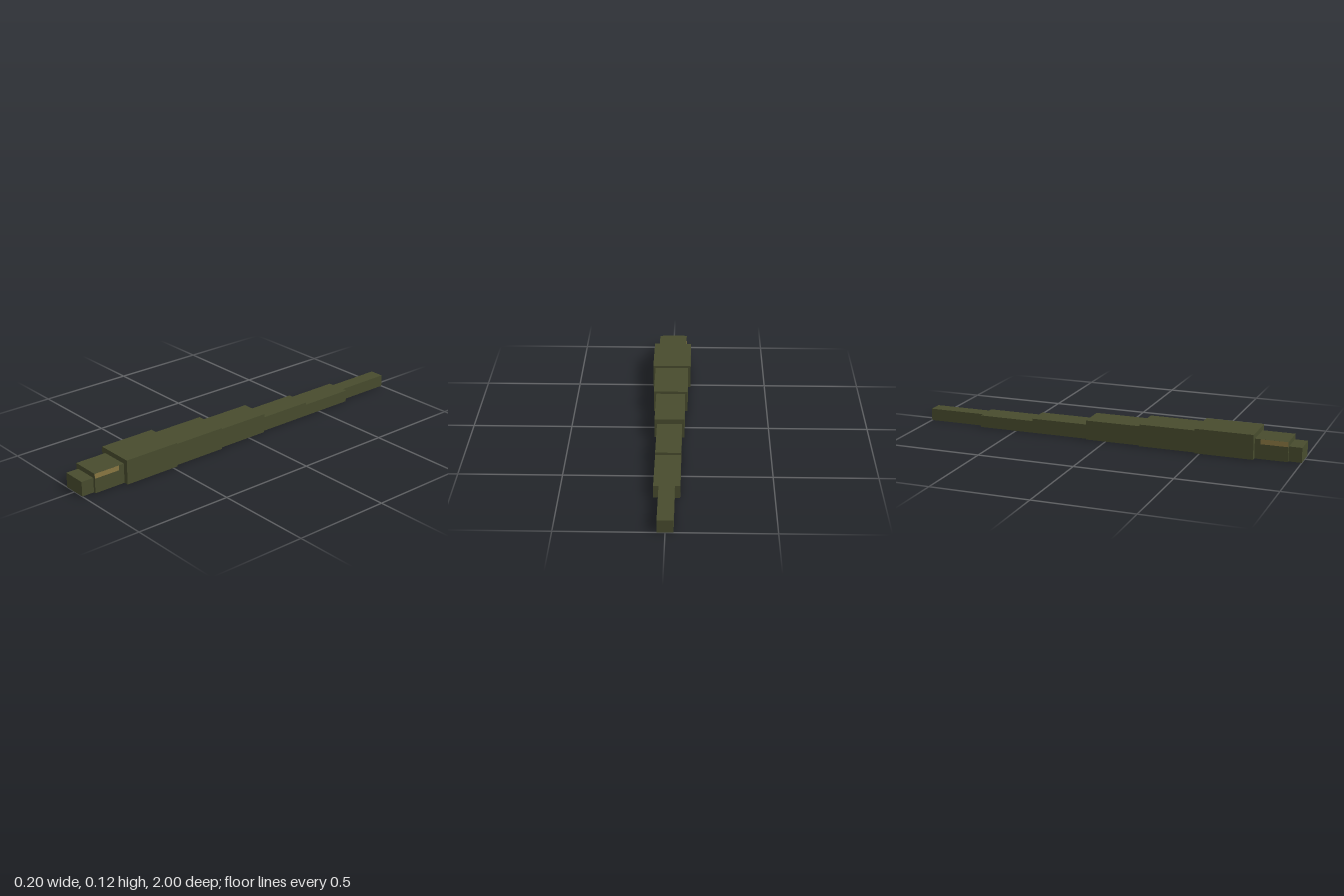
import * as THREE from 'three';

export function createModel() {
  const model = new THREE.Group();
  model.name = 'snake';

  const skin = new THREE.MeshStandardMaterial({ color: 0x484c2e });
  skin.name = 'olive skin';
  const gold = new THREE.MeshStandardMaterial({ color: 0x8a7842 });
  gold.name = 'tan gold';

  // Block resting on the ground, spanning zBack..zFront
  function block(name, zFront, zBack, width, height, material) {
    const mesh = new THREE.Mesh(new THREE.BoxGeometry(width, height, zFront - zBack), material);
    mesh.position.set(0, height / 2, (zFront + zBack) / 2);
    mesh.name = name;
    model.add(mesh);
    return mesh;
  }

  // Snout and head
  block('snout', 1, 0.935, 0.125, 0.075, skin);
  block('head', 0.935, 0.77, 0.15, 0.1, skin);

  // Eye strips along the upper sides of the head
  for (const side of [-1, 1]) {
    const eye = new THREE.Mesh(new THREE.PlaneGeometry(0.137, 0.025), gold);
    eye.rotation.y = side * Math.PI / 2;
    eye.position.set(side * 0.0757, 0.0875, 0.8665);
    eye.name = side > 0 ? 'leftEye' : 'rightEye';
    model.add(eye);
  }

  // Body segments with a pale belly face: front z, back z, width, height
  const bodyMaterials = [skin, skin, skin, gold, skin, skin];
  const segments = [
    [0.77, 0.475, 0.2, 0.125],
    [0.475, 0.185, 0.175, 0.1125],
    [0.185, -0.105, 0.15, 0.1],
    [-0.105, -0.405, 0.125, 0.075],
    [-0.405, -0.7, 0.125, 0.0625],
    [-0.7, -1, 0.075, 0.0625],
  ];
  segments.forEach(([front, back, width, height], i) => {
    const name = i === segments.length - 1 ? 'tail' : `bodySegment${i + 1}`;
    block(name, front, back, width, height, bodyMaterials);
  });

  return model;
}
